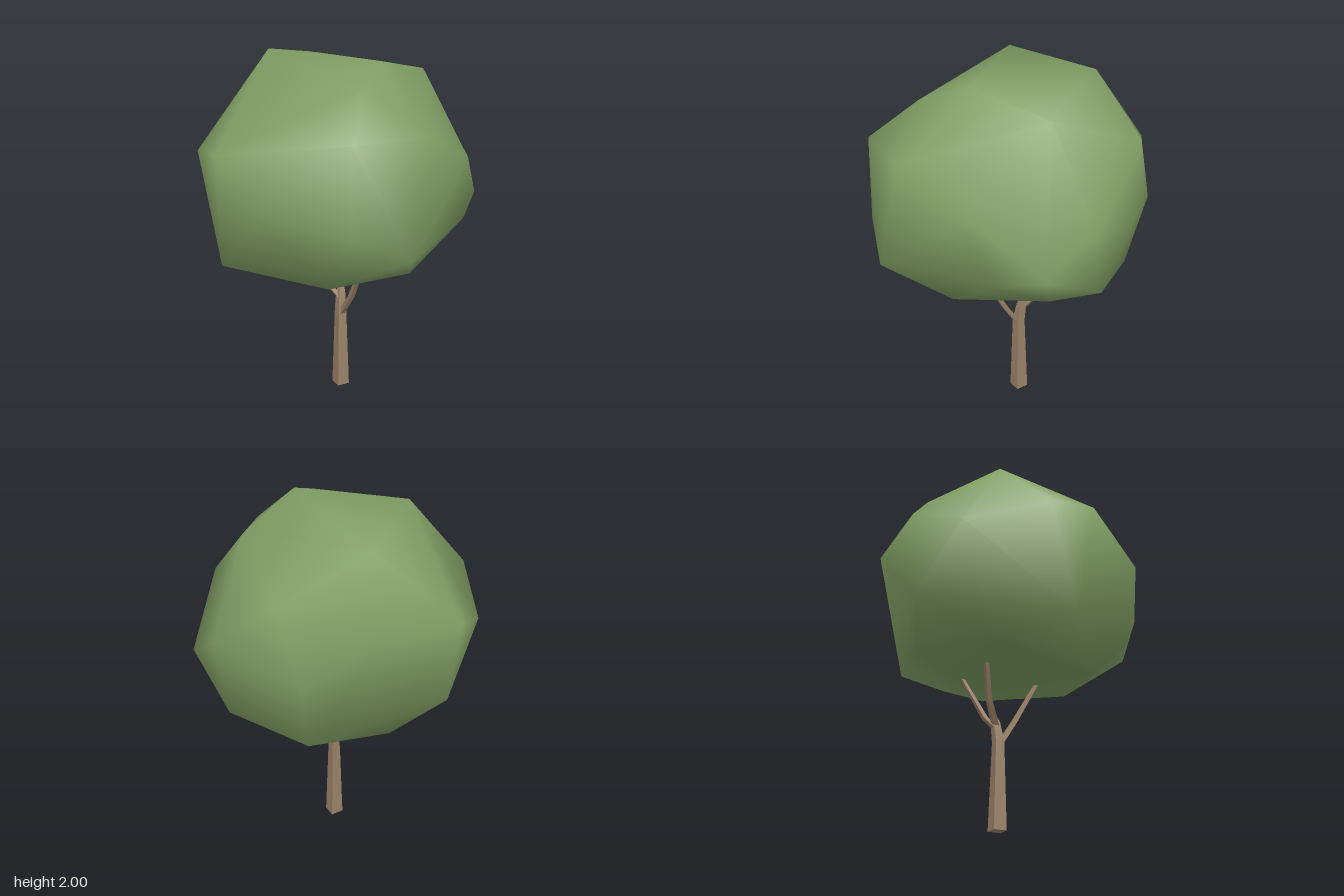
import * as THREE from 'three';
import { mergeVertices, toCreasedNormals } from 'three/addons/utils/BufferGeometryUtils.js';
import { ConvexGeometry } from 'three/addons/geometries/ConvexGeometry.js';

const leafGreen = new THREE.MeshStandardMaterial({ color: 0x7f9f64 });
const barkBrown = new THREE.MeshStandardMaterial({ color: 0x9a8268 });

// Corner points of the faceted crown, from top to bottom
const crownPoints = [
  [-0.18, 2.0, -0.28], [-0.03, 1.975, 0.325], [0.29, 1.92, -0.38], [0.41, 1.88, 0.3], [-0.28, 1.88, 0.4],
  [0.69, 1.71, -0.1], [-0.18, 1.68, 0.715], [-0.52, 1.675, 0.515],
  [-0.72, 1.56, -0.16], [0.515, 1.55, -0.52], [0.04, 1.54, -0.735], [-0.62, 1.53, -0.385], [0.2, 1.5, 0.715],
  [-0.26, 1.42, -0.675], [0.68, 1.38, 0.31], [0.76, 1.37, 0.09], [0.69, 1.34, -0.25], [-0.765, 1.33, 0.16],
  [-0.53, 1.22, 0.53], [0.56, 1.2, 0.575], [0.31, 1.13, 0.65], [-0.32, 1.1, 0.73], [0.05, 1.09, -0.69],
  [-0.56, 1.01, 0.36], [0.68, 1.0, 0.23], [-0.64, 0.94, -0.23], [0.6, 0.93, -0.22], [0.24, 0.9, -0.47],
  [0.42, 0.89, 0.29], [-0.02, 0.885, 0.53], [-0.24, 0.865, -0.39], [-0.38, 0.85, 0.27], [0.23, 0.84, -0.02],
];

// Convex shell with shared corners, so the shading runs smoothly over it
function crownGeometry() {
  const shell = new ConvexGeometry(crownPoints.map((p) => new THREE.Vector3(...p)));
  shell.deleteAttribute('normal');
  const geometry = mergeVertices(shell, 1e-4);
  geometry.computeVertexNormals();
  return geometry;
}

// Tapering limb with level four-sided sections; each stop is [x, y, z, radius]
function limb(name, stops, sides = 4) {
  const positions = [];
  const indices = [];
  for (const [x, y, z, r] of stops) {
    for (let i = 0; i < sides; i++) {
      const a = 1.2 + (i / sides) * Math.PI * 2;
      positions.push(x + r * Math.cos(a), y, z + r * Math.sin(a));
    }
  }
  for (let s = 0; s < stops.length - 1; s++) {
    for (let i = 0; i < sides; i++) {
      const a = s * sides + i;
      const b = s * sides + ((i + 1) % sides);
      indices.push(a, a + sides, b, b, a + sides, b + sides);
    }
  }
  // End caps
  const last = (stops.length - 1) * sides;
  for (let i = 1; i < sides - 1; i++) {
    indices.push(0, i, i + 1, last, last + i + 1, last + i);
  }
  const geometry = new THREE.BufferGeometry();
  geometry.setAttribute('position', new THREE.Float32BufferAttribute(positions, 3));
  geometry.setIndex(indices);
  const mesh = new THREE.Mesh(toCreasedNormals(geometry, 0.5), barkBrown);
  mesh.name = name;
  return mesh;
}

export function createModel() {
  const tree = new THREE.Group();
  tree.name = 'tree';

  const crown = new THREE.Mesh(crownGeometry(), leafGreen);
  crown.name = 'crown';
  tree.add(crown);

  tree.add(limb('trunk', [
    [0.068, 0, 0.012, 0.052], [0.064, 0.48, 0.012, 0.035], [0.077, 0.59, 0.003, 0.028], [0.085, 0.62, 0.0, 0.02],
  ]));

  // Three forking branches that run up into the crown
  tree.add(limb('frontBranch', [
    [0.06, 0.47, 0.02, 0.021], [0.035, 0.61, 0.11, 0.02], [-0.03, 0.86, 0.235, 0.014], [-0.05, 0.95, 0.28, 0.01],
  ]));
  tree.add(limb('leftBranch', [
    [0.075, 0.56, -0.005, 0.022], [0.125, 0.62, -0.03, 0.02], [0.23, 0.85, -0.1, 0.014], [0.27, 0.94, -0.13, 0.01],
  ]));
  tree.add(limb('backBranch', [
    [0.07, 0.57, -0.005, 0.022], [0.03, 0.685, -0.11, 0.019], [-0.02, 0.86, -0.19, 0.014], [-0.045, 0.95, -0.23, 0.01],
  ]));

  return tree;
}
